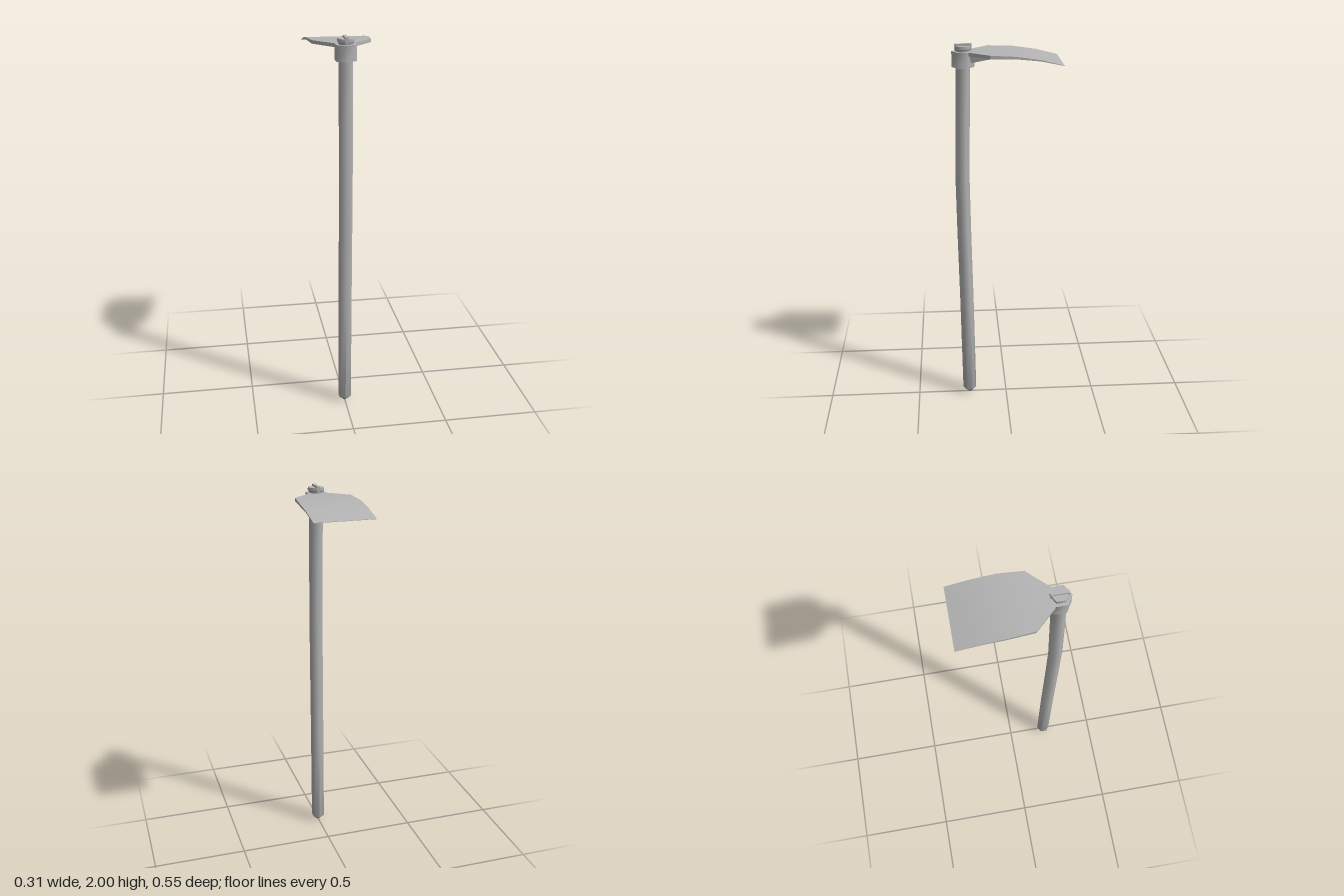
import * as THREE from 'three';
import { toCreasedNormals } from 'three/addons/utils/BufferGeometryUtils.js';

// Skin closed cross-sections, listed counter-clockwise as seen from the far end
function loft(rings, crease) {
  const n = rings[0].length, last = (rings.length - 1) * n, index = [];
  for (let i = 0; i < rings.length - 1; i++) {
    for (let j = 0; j < n; j++) {
      const k = (j + 1) % n, a = i * n + j, b = i * n + k;
      index.push(a, b, b + n, a, b + n, a + n);
    }
  }
  for (let j = 1; j < n - 1; j++) {
    index.push(0, j + 1, j, last, last + j, last + j + 1);
  }
  const geo = new THREE.BufferGeometry();
  geo.setAttribute('position', new THREE.Float32BufferAttribute(rings.flat(2), 3));
  geo.setIndex(index);
  return toCreasedNormals(geo, crease);
}

// Six-sided section with a corner facing the front
function hexRing([y, z, r]) {
  return Array.from({ length: 6 }, (_, i) => {
    const a = (i * Math.PI) / 3;
    return [r * Math.sin(a), y, z + r * Math.cos(a)];
  });
}

// Four-cornered section across the blade
function bladeRing([z, wTop, top, wBottom, bottom]) {
  return [[-wTop, top, z], [wTop, top, z], [wBottom, bottom, z], [-wBottom, bottom, z]];
}

export function createModel() {
  const group = new THREE.Group();
  const grey = new THREE.MeshStandardMaterial({ color: 0xb4b4b4 });
  grey.name = 'grey';
  const add = (name, geo) => {
    const mesh = new THREE.Mesh(geo, grey);
    mesh.name = name;
    group.add(mesh);
    return mesh;
  };

  // Slightly bowed shaft with a blunt point at the foot
  add('handle', loft([
    [0, 0.21, 0.006], [0.028, 0.21, 0.037], [0.6, 0.217, 0.037],
    [1.0, 0.224, 0.037], [1.32, 0.228, 0.037], [1.6, 0.222, 0.037], [1.95, 0.214, 0.037],
  ].map(hexRing), 1.1));

  // Shaft end swelling above the collar
  add('handleTop', loft([
    [1.94, 0.214, 0.038], [1.968, 0.214, 0.039], [1.975, 0.214, 0.044], [1.99, 0.214, 0.043],
  ].map(hexRing), 1.1));

  // Wedge driven into the shaft end
  add('wedge', new THREE.BoxGeometry(0.016, 0.03, 0.086)).position.set(0, 1.985, 0.214);

  // Socket around the shaft
  add('collar', loft([
    [1.885, 0.214, 0.057], [1.963, 0.214, 0.057],
  ].map(hexRing), 1.1));

  // Curved blade, thinning toward its cutting edge
  add('blade', loft([
    [0.186, 0.05, 1.963, 0.05, 1.945],
    [0.085, 0.147, 1.965, 0.147, 1.948],
    [-0.04, 0.157, 1.96, 0.157, 1.948],
    [-0.16, 0.157, 1.943, 0.157, 1.936],
    [-0.275, 0.157, 1.915, 0.157, 1.913],
  ].map(bladeRing), 0.6));

  // Rib tapering from the collar under the blade
  add('rib', loft([
    [0.2, 0.05, 1.955, 0.035, 1.908],
    [0.165, 0.048, 1.955, 0.03, 1.91],
    [-0.05, 0.004, 1.95, 0.002, 1.943],
  ].map(bladeRing), 0.5));

  return group;
}
